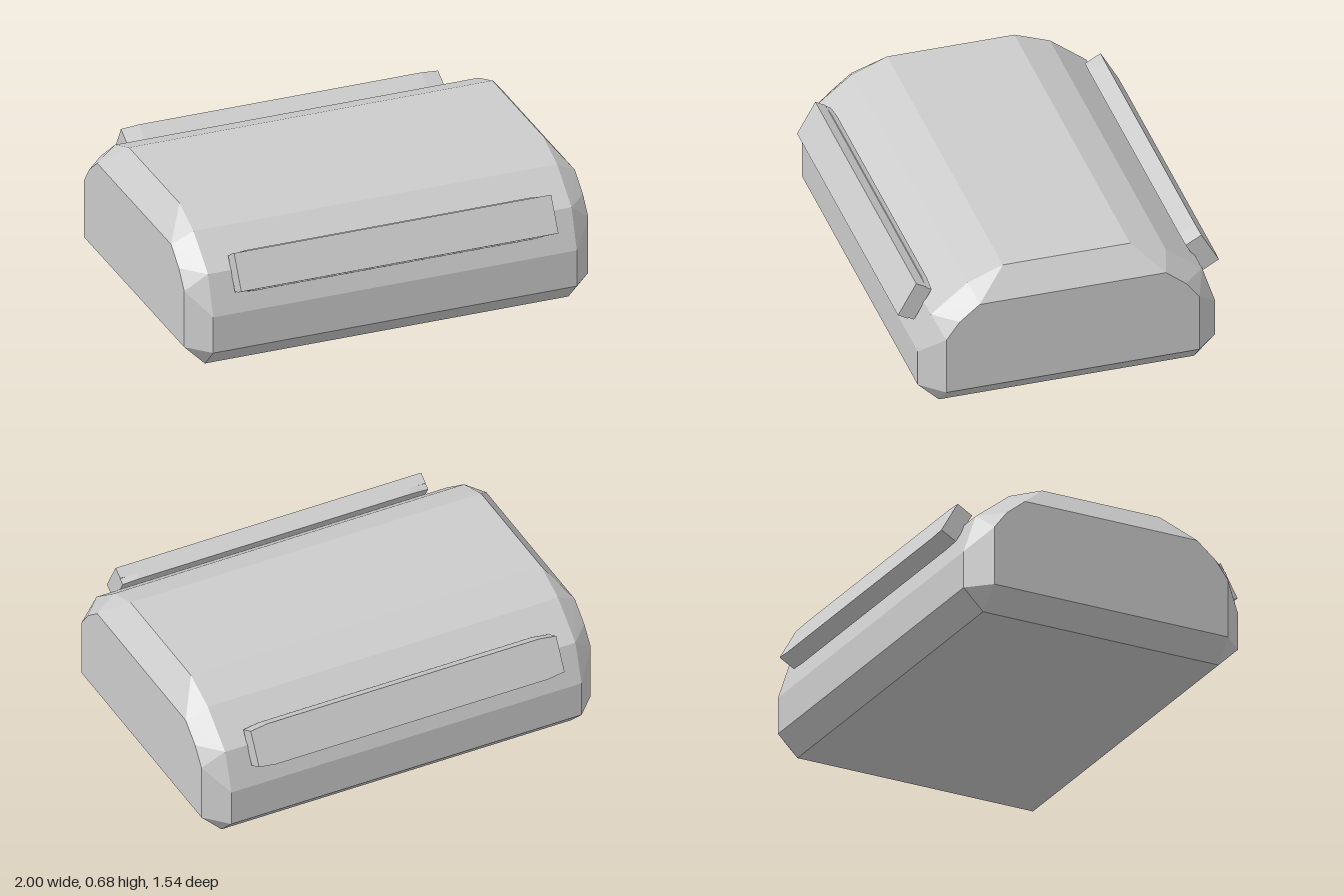
import * as THREE from 'three';
import { ConvexGeometry } from 'three/addons/geometries/ConvexGeometry.js';

const material = new THREE.MeshStandardMaterial({ color: 0xcccccc, flatShading: true });

function add(parent, name, geometry) {
  const mesh = new THREE.Mesh(geometry, material);
  mesh.name = name;
  parent.add(mesh);
  return mesh;
}

// Slab spanning x, its height shrinking from mid to end near both tips
function taperedSlab(midHeight, endHeight, zBack, zFront) {
  const m = midHeight / 2, e = endHeight / 2;
  const shape = new THREE.Shape([
    [-0.785, -e], [-0.7, -m], [0.7, -m], [0.785, -e],
    [0.785, e], [0.7, m], [-0.7, m], [-0.785, e],
  ].map(([x, y]) => new THREE.Vector2(x, y)));
  return new THREE.ExtrudeGeometry(shape, { depth: zFront - zBack, bevelEnabled: false })
    .translate(0, 0, zBack);
}

export function createModel() {
  const model = new THREE.Group();
  model.name = 'lowBox';

  // Faceted body: half profiles as [z, y], full section and smaller end caps
  const section = [[0.612, 0], [0.713, 0.1], [0.713, 0.283], [0.65, 0.475], [0.475, 0.615], [0.305, 0.68]];
  const cap = [[0.607, 0.1], [0.607, 0.388], [0.542, 0.475], [0.447, 0.553]];
  const points = [];
  for (const [profile, x] of [[section, 0.9], [cap, 1]]) {
    for (const [z, y] of profile) {
      for (const sx of [-1, 1]) {
        for (const sz of [-1, 1]) points.push(new THREE.Vector3(sx * x, y, sz * z));
      }
    }
  }
  add(model, 'body', new ConvexGeometry(points));

  // Front bar: plain outer plate on a slightly taller tapered backing
  const frontBar = new THREE.Group();
  frontBar.name = 'frontBar';
  frontBar.position.set(0, 0.478, 0.691);
  frontBar.rotation.x = -0.51;
  add(frontBar, 'frontPlate', new THREE.BoxGeometry(1.57, 0.18, 0.055)).position.z = 0.0155;
  add(frontBar, 'frontBacking', taperedSlab(0.19, 0.172, -0.043, -0.012));
  model.add(frontBar);

  // Back bar: one tapered slab
  const backBar = add(model, 'backBar', taperedSlab(0.193, 0.172, -0.043, 0.043));
  backBar.position.set(0, 0.481, -0.687);
  backBar.rotation.set(0.51, Math.PI, 0);
  backBar.rotation.order = 'XYZ';

  return model;
}
